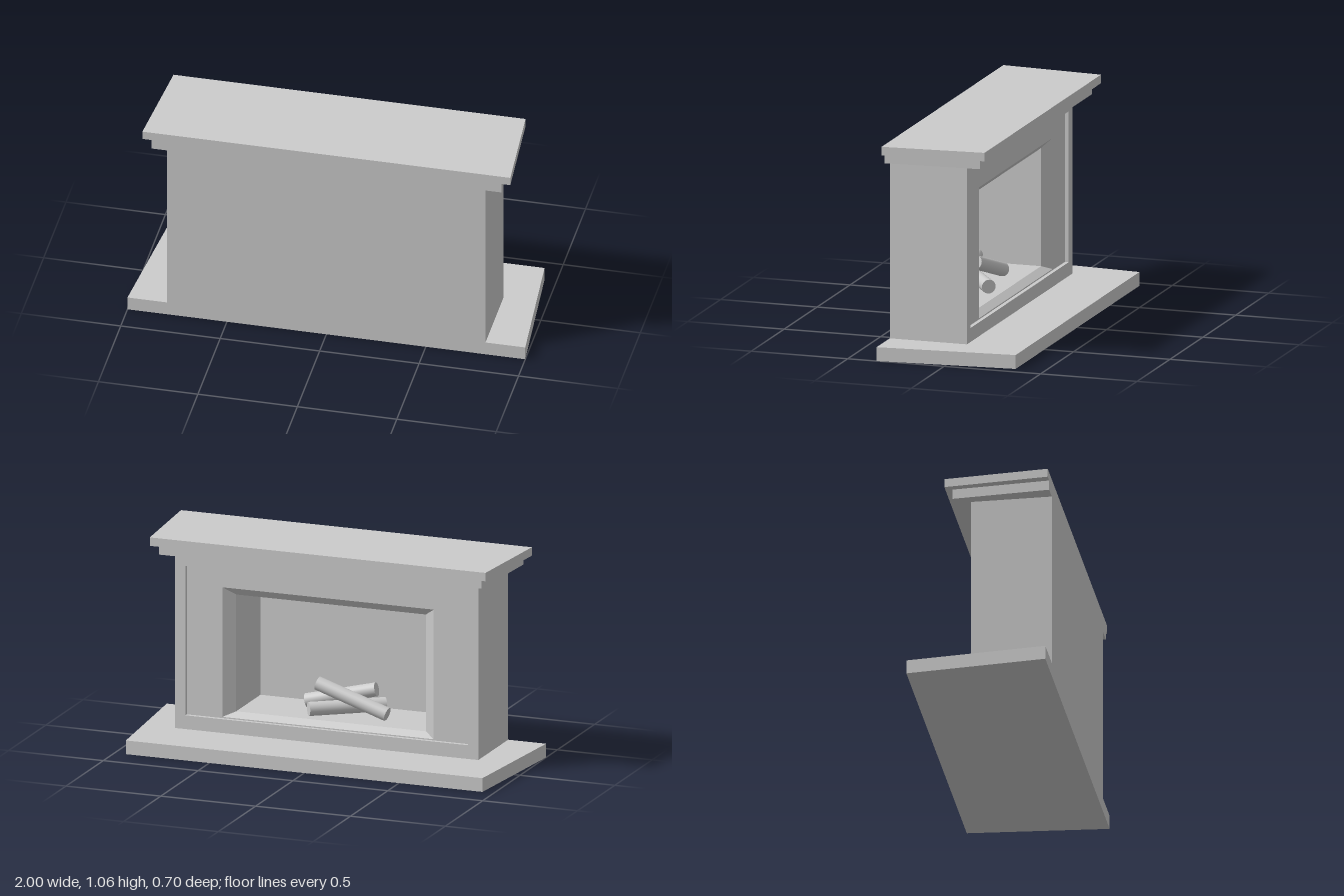
import * as THREE from 'three';

const material = new THREE.MeshStandardMaterial({ color: 0xcccccc });

function add(parent, name, geometry) {
  const mesh = new THREE.Mesh(geometry, material);
  mesh.name = name;
  parent.add(mesh);
  return mesh;
}

// Slab that narrows from the wall side (z = 0.35) to the room side (zEnd)
function slab(wallHalf, roomHalf, zEnd, y0, y1) {
  const shape = new THREE.Shape([
    new THREE.Vector2(-wallHalf, -0.35), new THREE.Vector2(wallHalf, -0.35),
    new THREE.Vector2(roomHalf, -zEnd), new THREE.Vector2(-roomHalf, -zEnd),
  ]);
  return new THREE.ExtrudeGeometry(shape, { depth: y1 - y0, bevelEnabled: false })
    .rotateX(-Math.PI / 2).translate(0, y0, 0);
}

// Closed flat-sided surface through rectangles [halfWidth, bottom, top, z]
function rectangleLoft(sections) {
  const loops = sections.map(([w, y0, y1, z]) => [[w, y0, z], [-w, y0, z], [-w, y1, z], [w, y1, z]]);
  const positions = [];
  const quad = (a, b, c, d) => positions.push(...a, ...b, ...c, ...a, ...c, ...d);
  for (let k = 0; k < loops.length - 1; k++) {
    for (let i = 0; i < 4; i++) {
      const j = (i + 1) % 4;
      quad(loops[k][i], loops[k][j], loops[k + 1][j], loops[k + 1][i]);
    }
  }
  quad(...[...loops[0]].reverse());
  quad(...loops[loops.length - 1]);
  const geometry = new THREE.BufferGeometry();
  geometry.setAttribute('position', new THREE.Float32BufferAttribute(positions, 3));
  geometry.computeVertexNormals();
  return geometry;
}

export function createModel() {
  const model = new THREE.Group();
  model.name = 'fireplace';

  // Hearth and stepped mantel
  add(model, 'hearth', slab(1, 0.94, -0.35, 0, 0.07));
  add(model, 'mantelMoulding', slab(0.88, 0.85, -0.135, 0.97, 1.02));
  add(model, 'mantelShelf', slab(0.925, 0.885, -0.17, 1.02, 1.063));

  // Surround: outer box, raised rim, recessed panel, splayed opening, firebox
  add(model, 'surround', rectangleLoft([
    [0.8, 0.07, 0.97, 0.35],
    [0.8, 0.07, 0.97, -0.05],
    [0.745, 0.14, 0.9, -0.05],
    [0.745, 0.14, 0.9, -0.03],
    [0.557, 0.146, 0.806, -0.03],
    [0.5, 0.17, 0.765, 0.01],
    [0.5, 0.17, 0.765, 0.335],
  ]));

  // Logs: centre and axis (axis length is the log length)
  const logs = new THREE.Group();
  logs.name = 'logs';
  model.add(logs);
  const up = new THREE.Vector3(0, 1, 0);
  [
    ['frontLog', [-0.02, 0.205, 0.174], [-0.318, 0, 0.223]],
    ['backLog', [0.025, 0.25, 0.214], [-0.358, 0.084, 0.03]],
    ['leaningLog', [-0.065, 0.26, 0.132], [-0.372, -0.118, -0.015]],
  ].forEach(([name, centre, axis]) => {
    const direction = new THREE.Vector3(...axis);
    const log = add(logs, name, new THREE.CylinderGeometry(0.035, 0.035, direction.length(), 24));
    log.position.set(...centre);
    log.quaternion.setFromUnitVectors(up, direction.normalize());
  });

  return model;
}
